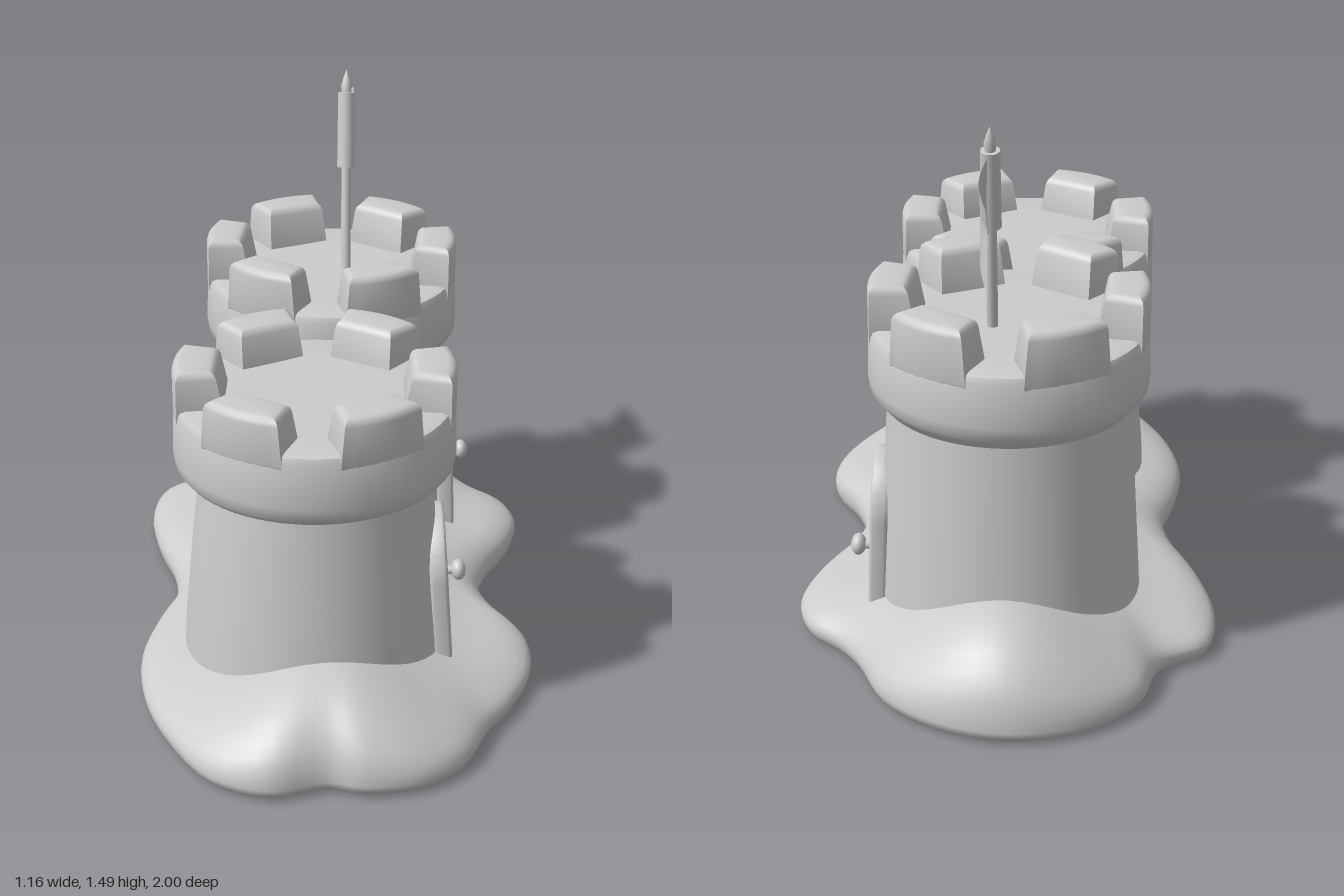
import * as THREE from 'three';
import { toCreasedNormals } from 'three/addons/utils/BufferGeometryUtils.js';

const V2 = (x, y) => new THREE.Vector2(x, y);

export function createModel() {
  const sand = new THREE.MeshStandardMaterial({ color: 0xcccccc, side: THREE.DoubleSide });
  sand.name = 'sand';
  const model = new THREE.Group();
  model.name = 'sandcastle';

  function add(parent, name, geometry, x = 0, y = 0, z = 0) {
    const mesh = new THREE.Mesh(geometry, sand);
    mesh.name = name;
    mesh.position.set(x, y, z);
    parent.add(mesh);
    return mesh;
  }

  add(model, 'moundBase', moundGeometry());

  // Front tower, then the taller back tower
  addTower('frontTower', -0.04, 0.375, 0, 0.36, 0.31, 0.38, 0.64, 0.86, 0.96);
  addTower('backTower', -0.007, -0.385, -0.07, 0.358, 0.325, 0.376, 0.7, 0.915, 1.03);
  addDoor('frontDoor', 0.3, 0.375, 0.31, 0.07, 0.29);
  addDoor('backDoor', 0.337, -0.375, 0.285, 0.04, -0.46);
  addFlag();
  return model;

  function addTower(name, x, z, turn, footR, neckR, crownR, neckY, floorY, topY) {
    const tower = new THREE.Group();
    tower.name = name;
    tower.position.set(x, 0, z);
    model.add(tower);

    // Tapered wall
    const wall = [V2(footR + 0.008, 0.06), V2(footR, 0.2), V2((footR + neckR) / 2 + 0.002, 0.43), V2(neckR, neckY + 0.03)];
    add(tower, 'wall', new THREE.LatheGeometry(wall, 64));

    // Overhanging crown with the walkway floor
    const crown = [
      V2(neckR - 0.02, neckY), V2(neckR + 0.015, neckY + 0.005), V2(crownR - 0.02, neckY + 0.025),
      V2(crownR - 0.004, neckY + 0.045), V2(crownR, neckY + 0.075), V2(crownR - 0.005, floorY - 0.02),
      V2(crownR - 0.012, floorY - 0.005), V2(crownR - 0.028, floorY), V2(0.2, floorY - 0.006), V2(0, floorY - 0.008),
    ];
    add(tower, 'crown', toCreasedNormals(new THREE.LatheGeometry(crown, 64), 0.7));

    // Six battlements around the rim
    const block = battlementGeometry(crownR - 0.004, topY - floorY + 0.05);
    for (let i = 0; i < 6; i++) {
      add(tower, 'battlement', block, 0, floorY - 0.05, 0).rotation.y = turn + (i * Math.PI) / 3;
    }
  }

  function addDoor(name, x, z, width, tilt, knobZ) {
    const door = new THREE.Group();
    door.name = name;
    door.position.set(x, 0.1, z);
    door.rotation.z = tilt;
    model.add(door);
    const w = width / 2 - 0.01;
    const arch = new THREE.Shape();
    arch.moveTo(-w, 0);
    arch.lineTo(w, 0);
    arch.lineTo(w * 0.97, 0.26);
    arch.absellipse(0, 0.26, w * 0.97, 0.15, 0, Math.PI, false);
    arch.closePath();
    const panel = new THREE.ExtrudeGeometry(arch, {
      depth: 0.03, bevelThickness: 0.01, bevelSize: 0.01, bevelSegments: 3, curveSegments: 24,
    });
    panel.rotateY(Math.PI / 2);
    add(door, 'panel', toCreasedNormals(panel, 0.6));
    // Round knob on a short stem
    const stem = new THREE.CylinderGeometry(0.012, 0.012, 0.04, 12);
    stem.rotateZ(Math.PI / 2);
    add(door, 'knobStem', stem, 0.05, 0.17, knobZ - z);
    add(door, 'knob', new THREE.SphereGeometry(0.03, 20, 14), 0.073, 0.17, knobZ - z).scale.x = 0.7;
  }

  function addFlag() {
    // Leaning pole with a sleeve and pointed tip
    const pole = new THREE.Group();
    pole.name = 'flagPole';
    pole.position.set(0.036, 0.87, -0.405);
    pole.rotation.x = -0.205;
    model.add(pole);
    add(pole, 'shaft', new THREE.CylinderGeometry(0.014, 0.015, 0.4, 16), 0, 0.2, 0);
    add(pole, 'sleeve', new THREE.CylinderGeometry(0.025, 0.027, 0.22, 20), 0, 0.455, 0);
    const tip = [V2(0.014, 0.56), V2(0.016, 0.585), V2(0.009, 0.61), V2(0, 0.632)];
    add(pole, 'tip', new THREE.LatheGeometry(tip, 16));

    // Waving swallowtail cloth
    const cloth = new THREE.PlaneGeometry(1, 1, 12, 8);
    const p = cloth.attributes.position;
    const mix = THREE.MathUtils.lerp;
    for (let i = 0; i < p.count; i++) {
      const u = p.getX(i) + 0.5, v = p.getY(i) + 0.5;
      const [a, b, t] = v < 0.5
        ? [[-0.76, 1.14], [-0.705, 1.275], v * 2]
        : [[-0.705, 1.275], [-0.81, 1.37], v * 2 - 1];
      const z = mix(mix(-0.465, -0.51, v), mix(a[0], b[0], t), u);
      const y = mix(mix(1.2, 1.41, v), mix(a[1], b[1], t), u);
      p.setXYZ(i, 0.036 + 0.022 * Math.sin(Math.PI * u), y, z);
    }
    cloth.computeVertexNormals();
    add(model, 'flagCloth', cloth);
  }
}

// Rounded wedge, narrowing toward its top
function battlementGeometry(outerR, height) {
  const bevel = 0.022, r = outerR - bevel, a = 0.265;
  const s = new THREE.Shape();
  s.moveTo(0.25, -0.075);
  s.lineTo(r * Math.cos(a), -r * Math.sin(a));
  s.absarc(0, 0, r, -a, a, false);
  s.lineTo(0.25, 0.075);
  s.closePath();
  const g = new THREE.ExtrudeGeometry(s, {
    depth: height - 2 * bevel, bevelThickness: bevel, bevelSize: bevel, bevelSegments: 3, curveSegments: 8,
  });
  g.rotateX(-Math.PI / 2);
  g.translate(0, bevel, 0);
  const p = g.attributes.position;
  for (let i = 0; i < p.count; i++) {
    const t = p.getY(i) / height;
    const inner = p.getX(i) < 0.29 ? 0.03 * t : 0;
    p.setX(i, p.getX(i) + inner);
    p.setZ(i, p.getZ(i) * (1.04 - 0.12 * t));
  }
  return toCreasedNormals(g, 0.65);
}

// Lobed mound: one outline scaled in rings, raised along the middle
function moundGeometry() {
  const outline = [
    [-0.02, -1], [0.17, -0.95], [0.31, -0.84], [0.39, -0.68], [0.45, -0.6], [0.54, -0.52], [0.58, -0.4],
    [0.55, -0.26], [0.47, -0.1], [0.44, 0.03], [0.48, 0.16], [0.56, 0.3], [0.56, 0.45], [0.5, 0.6],
    [0.43, 0.71], [0.36, 0.86], [0.25, 0.95], [0.1, 0.98], [0, 0.96], [-0.15, 1], [-0.3, 0.94],
    [-0.42, 0.78], [-0.5, 0.6], [-0.53, 0.4], [-0.5, 0.22], [-0.46, 0.08], [-0.48, -0.06], [-0.54, -0.22],
    [-0.58, -0.42], [-0.55, -0.58], [-0.42, -0.67], [-0.36, -0.83], [-0.22, -0.95],
  ];
  const curve = new THREE.CatmullRomCurve3(outline.map(([x, z]) => new THREE.Vector3(x, 0, z)), true);
  const n = 132;
  const pts = curve.getPoints(n).slice(0, n);
  const rings = [[0, 0], [0.5, 0], [0.93, 0], [0.965, 0], [0.985, 0.008], [0.997, 0.025]];
  for (const s of [1, 0.996, 0.985, 0.97, 0.945, 0.91, 0.87, 0.82, 0.76, 0.68, 0.58, 0.46, 0.34, 0.22, 0.1, 0]) rings.push([s, null]);

  const pos = [], idx = [];
  rings.forEach(([s, low], r) => {
    pts.forEach((q, i) => {
      const x = q.x * s, z = q.z * s;
      const crest = 0.1 + (0.16 - 0.015 * z) * Math.exp(-((x / 0.28) ** 2));
      const e = s > 0.75 ? Math.sqrt(Math.max(0, 1 - ((s - 0.75) / 0.25) ** 2)) : 1;
      pos.push(x, low ?? 0.04 + (crest - 0.04) * e, z);
      if (r < rings.length - 1) {
        const a = r * n + i, b = r * n + ((i + 1) % n);
        idx.push(a, a + n, b + n, a, b + n, b);
      }
    });
  });
  const g = new THREE.BufferGeometry();
  g.setAttribute('position', new THREE.Float32BufferAttribute(pos, 3));
  g.setIndex(idx);
  g.computeVertexNormals();
  return g;
}
